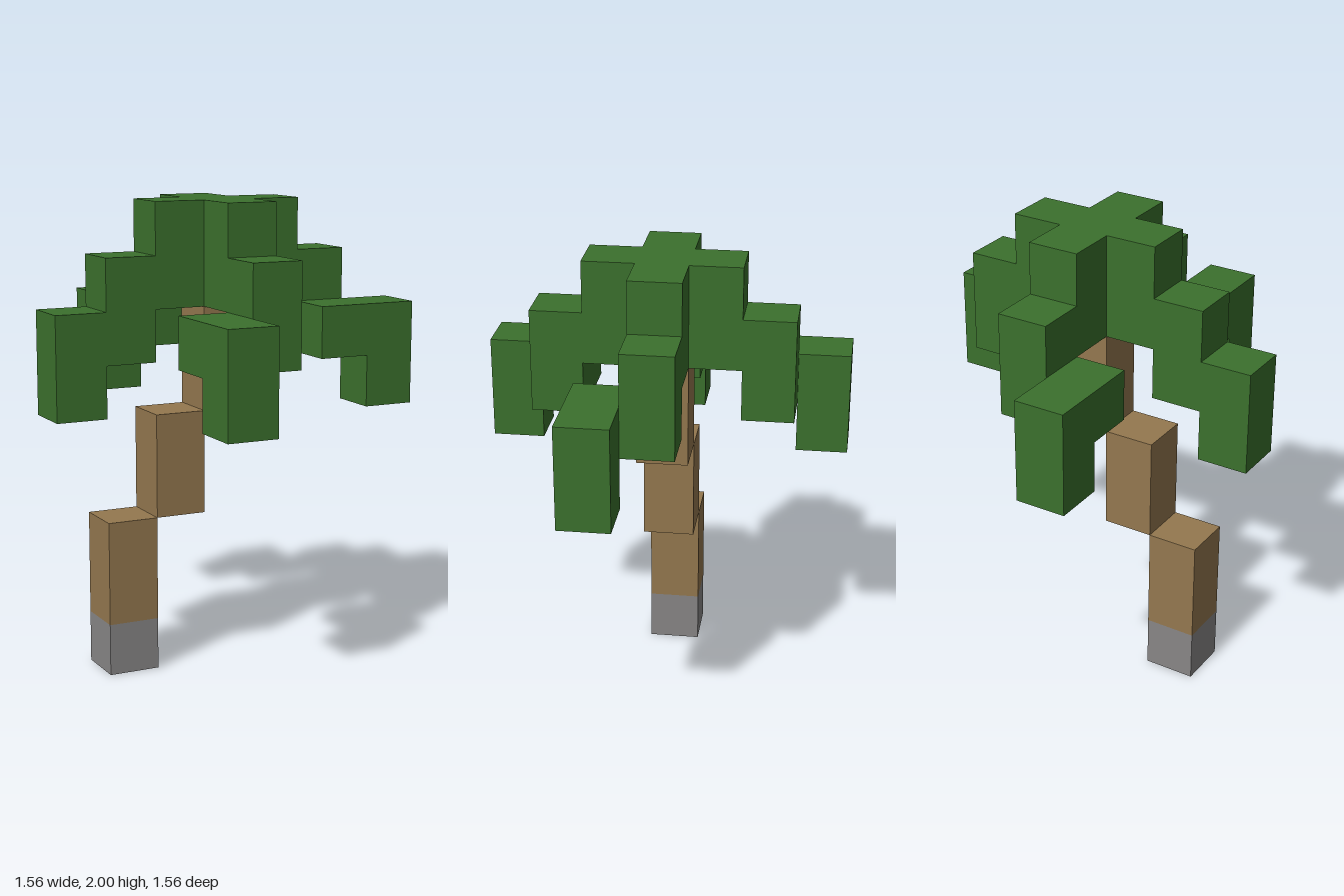
import * as THREE from 'three';

// One block of the grid
const U = 2 / 9;

export function createModel() {
  const tree = new THREE.Group();
  tree.name = 'blockPalmTree';

  const material = (name, color) => {
    const m = new THREE.MeshStandardMaterial({ color });
    m.name = name;
    return m;
  };
  const green = material('leafGreen', 0x3b712d);
  const brown = material('barkBrown', 0x94784f);
  const grey = material('baseGrey', 0x888686);

  // Box of one block's footprint, standing at block column x and level y
  const column = (name, mat, x, y, height, parent = tree) => {
    const mesh = new THREE.Mesh(new THREE.BoxGeometry(U, height * U, U), mat);
    mesh.name = name;
    mesh.position.set(x * U, (y + height / 2) * U, 0);
    parent.add(mesh);
  };

  // Stepped side profile, one block thick, shifted sideways by whole blocks
  const slab = (name, points, side, parent) => {
    const shape = new THREE.Shape(points.map(([r, y]) => new THREE.Vector2(r * U, y * U)));
    const geometry = new THREE.ExtrudeGeometry(shape, { depth: U, bevelEnabled: false });
    geometry.translate(0, 0, (side - 0.5) * U);
    const mesh = new THREE.Mesh(geometry, green);
    mesh.name = name;
    parent.add(mesh);
  };

  // Leaning trunk
  column('trunkBase', grey, -2, 0, 1);
  column('lowerTrunk', brown, -2, 1, 2);
  column('middleTrunk', brown, -1, 3, 2);
  column('upperTrunk', brown, 0, 5, 2);

  // Crown centre
  column('crownCentre', green, 0, 7, 2);

  // Four drooping fronds; three have a tip that bends sideways
  const frondProfile = [
    [0.5, 7], [1.5, 7], [1.5, 6], [2.5, 6], [2.5, 8], [1.5, 8], [1.5, 9], [0.5, 9],
  ];
  const bentTipProfile = [[1.5, 6], [2.5, 6], [2.5, 5], [3.5, 5], [3.5, 7], [1.5, 7]];
  const fronds = [
    ['leftFrond', 0, 1],
    ['backFrond', Math.PI / 2, -1],
    ['rightFrond', Math.PI, 0],
    ['frontFrond', -Math.PI / 2, 1],
  ];
  for (const [name, angle, bend] of fronds) {
    const frond = new THREE.Group();
    frond.name = name;
    frond.rotation.y = angle;
    slab('frondStem', frondProfile, 0, frond);
    if (bend) slab('frondTip', bentTipProfile, bend, frond);
    else column('frondTip', green, 3, 5, 2, frond);
    tree.add(frond);
  }

  return tree;
}
